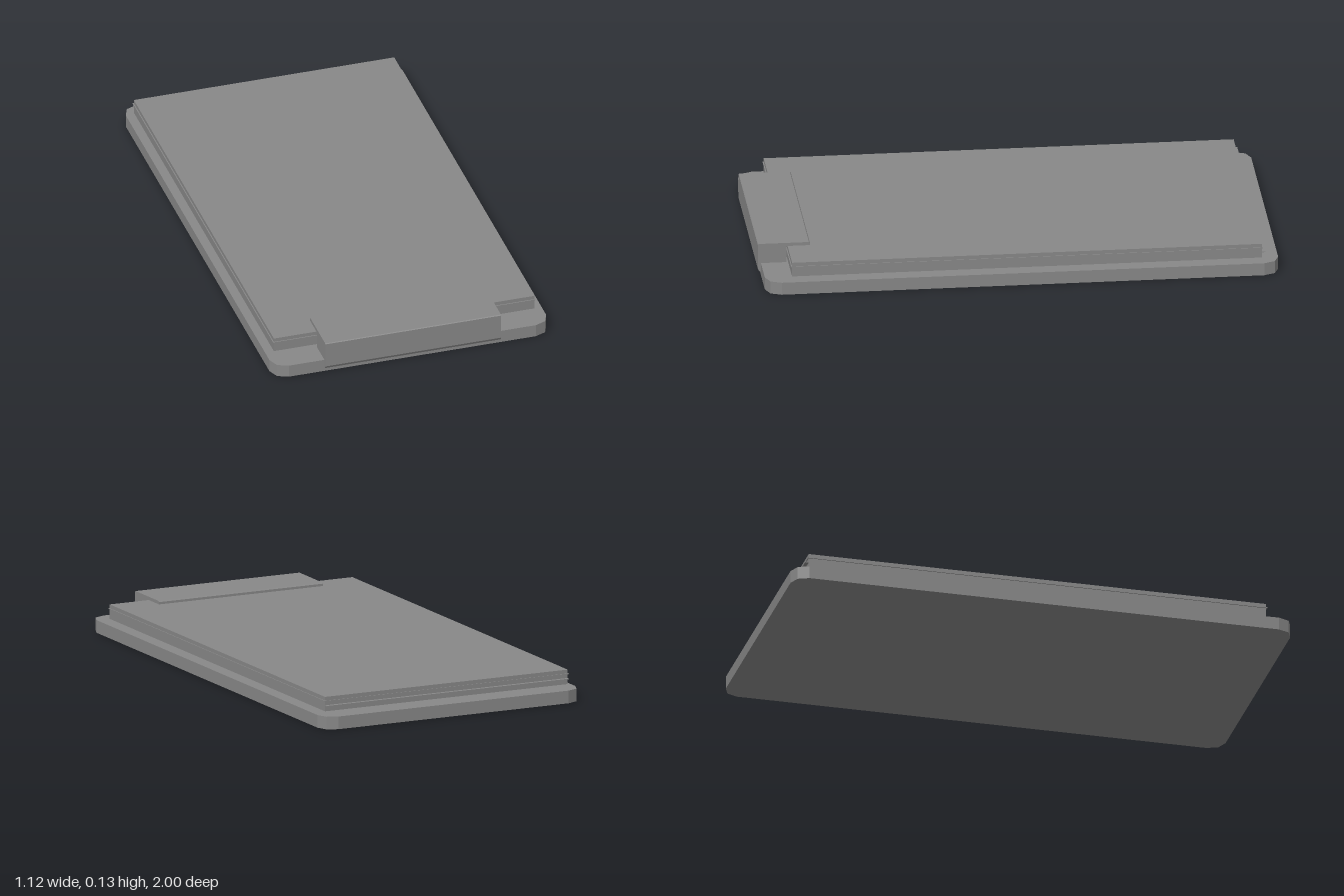
import * as THREE from 'three';

const material = new THREE.MeshStandardMaterial({ color: 0x888888, flatShading: true });

export function createModel() {
  const group = new THREE.Group();
  const add = (name, geometry) => {
    const mesh = new THREE.Mesh(geometry, material);
    mesh.name = name;
    group.add(mesh);
  };
  // Box given by its limits on each axis
  const box = (x0, x1, y0, y1, z0, z1) =>
    new THREE.BoxGeometry(x1 - x0, y1 - y0, z1 - z0)
      .translate((x0 + x1) / 2, (y0 + y1) / 2, (z0 + z1) / 2);

  // Backing board with corners rounded in two facets
  const hx = 0.558, hz = 0.994, r = 0.06;
  const outline = [];
  [[1, 1], [-1, 1], [-1, -1], [1, -1]].forEach(([sx, sz], corner) => {
    for (let i = 0; i <= 2; i++) {
      const a = (corner + i / 2) * Math.PI / 2;
      outline.push(new THREE.Vector2(
        sx * (hx - r) + r * Math.cos(a), sz * (hz - r) + r * Math.sin(a)));
    }
  });
  add('board', new THREE.ExtrudeGeometry(new THREE.Shape(outline), { depth: 0.05, bevelEnabled: false })
    .rotateX(-Math.PI / 2).translate(0, 0, -0.006));

  // Paper stack, with two loose sheets slipping out a little
  add('paperStack', box(-0.527, 0.523, 0.06, 0.117, -0.935, 0.885));
  add('wideSheet', box(-0.531, 0.526, 0.099, 0.102, -0.938, 0.889));
  add('longSheet', box(-0.526, 0.522, 0.081, 0.084, -0.949, 0.883));

  // Clip: solid block with a lip over the board's edge and a jaw over the paper
  const profile = [
    [1, 0.127], [0.997, 0.13], [0.802, 0.13], [0.798, 0.126], [0.798, 0.117], [0.888, 0.117],
    [0.888, 0.05], [0.988, 0.05], [0.988, 0.016], [0.994, 0.016], [1, 0.027],
  ].map(([z, y]) => new THREE.Vector2(-z, y));
  add('clip', new THREE.ExtrudeGeometry(new THREE.Shape(profile), { depth: 0.709, bevelEnabled: false })
    .rotateY(Math.PI / 2).translate(-0.355, 0, 0));

  return group;
}
